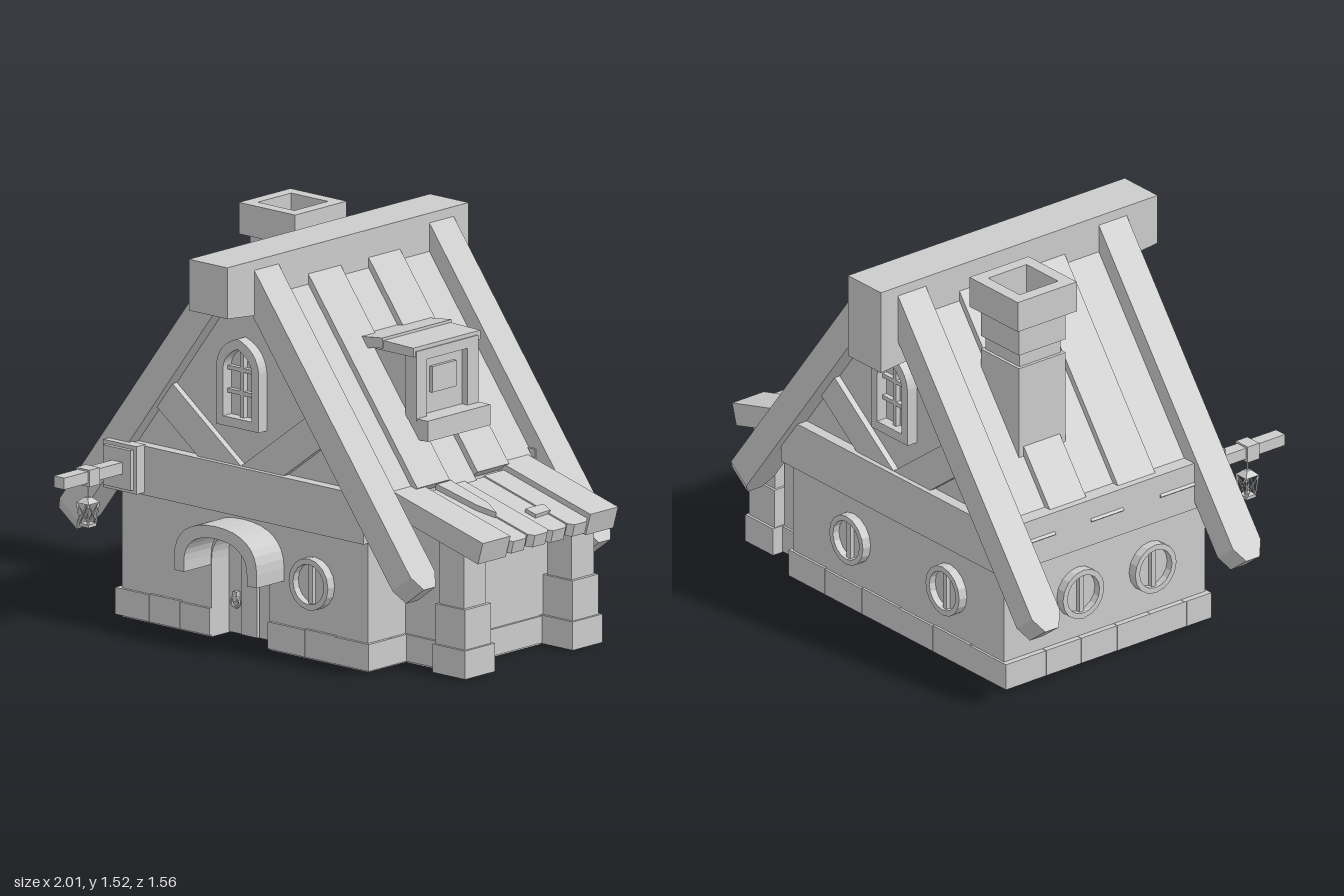
import * as THREE from 'three';

const mat = new THREE.MeshStandardMaterial({ color: 0xcccccc, flatShading: true });
const CX = -0.0775; // ridge line of the house
const SLOPE = Math.atan2(1.1, 0.83);

function add(parent, name, geo) {
  const m = new THREE.Mesh(geo, mat);
  m.name = name;
  parent.add(m);
  return m;
}

// box given by its extents
function box(parent, name, x0, x1, y0, y1, z0, z1) {
  const g = new THREE.BoxGeometry(x1 - x0, y1 - y0, z1 - z0);
  return add(parent, name, g.translate((x0 + x1) / 2, (y0 + y1) / 2, (z0 + z1) / 2));
}

const poly = pts => new THREE.Shape(pts.map(p => new THREE.Vector2(p[0], p[1])));

// xy outline pushed from z0 to z1
function prism(parent, name, outline, z0, z1) {
  const shape = Array.isArray(outline) ? poly(outline) : outline;
  const g = new THREE.ExtrudeGeometry(shape, { depth: z1 - z0, bevelEnabled: false, curveSegments: 8 });
  return add(parent, name, g.translate(0, 0, z0));
}

// board with plan outline (length, width), sloping down towards dir from its top edge
function board(parent, name, pts, thick, dir, angle, x, y, z) {
  const g = new THREE.ExtrudeGeometry(poly(pts), { depth: thick, bevelEnabled: false });
  g.rotateX(Math.PI / 2);
  if (dir < 0) g.rotateY(Math.PI);
  g.rotateZ(-dir * angle).translate(x, y, z);
  return add(parent, name, g);
}

// thin bar between two points
function bar(parent, name, a, b, r) {
  const p = new THREE.Vector3(...a), d = new THREE.Vector3(...b).sub(p);
  const m = add(parent, name, new THREE.CylinderGeometry(r, r, d.length(), 4));
  m.position.copy(p).addScaledVector(d, 0.5);
  m.quaternion.setFromUnitVectors(new THREE.Vector3(0, 1, 0), d.normalize());
}

// round window facing +z, back on z = 0
function roundWindow(parent, x, y, z, turn) {
  const g = new THREE.Group();
  g.name = 'roundWindow';
  const ring = new THREE.Shape().absarc(0, 0, 0.1, 0, Math.PI * 2);
  ring.holes.push(new THREE.Path().absarc(0, 0, 0.078, 0, Math.PI * 2, true));
  prism(g, 'windowRing', ring, -0.01, 0.037);
  add(g, 'windowPane', new THREE.CircleGeometry(0.08, 24)).position.z = 0.008;
  box(g, 'windowBar', -0.011, 0.011, -0.08, 0.08, 0, 0.025);
  g.position.set(x, y, z);
  g.rotation.y = turn;
  parent.add(g);
}

// pointed window outline, inset by d
function pointed(d, path = new THREE.Shape()) {
  const w = 0.108 - d, b = 0.84 + d, s = 1.07, t = 1.185 - d * 1.1;
  path.moveTo(-w, b);
  path.lineTo(w, b);
  path.lineTo(w, s);
  path.quadraticCurveTo(w * 0.9, t - 0.03, 0, t);
  path.quadraticCurveTo(-w * 0.9, t - 0.03, -w, s);
  path.closePath();
  return path;
}

// timber and window of one gable end, wall face on z = 0
function gableTrim(z, turn) {
  const g = new THREE.Group();
  g.name = 'gableTrim';
  box(g, 'crossBeam', -0.64, 0.64, 0.5, 0.69, -0.06, 0.045);
  for (const s of [-1, 1])
    prism(g, 'brace', [[0, 0.69], [s * 0.35, 0.95], [s * 0.44, 0.855], [s * 0.205, 0.68]], -0.03, 0.025);
  const frame = pointed(0);
  frame.holes.push(pointed(0.036, new THREE.Path()));
  prism(g, 'gableWindowFrame', frame, -0.01, 0.045);
  box(g, 'gableWindowBar', -0.009, 0.009, 0.87, 1.14, 0, 0.02);
  for (const y of [0.97, 1.06]) box(g, 'gableWindowBar', -0.072, 0.072, y - 0.008, y + 0.008, 0, 0.02);
  g.position.set(CX, 0, z);
  g.rotation.y = turn;
  return g;
}

// arch outline, from springing height down to the foot
function arch(x0, x1, y0, ys, top, path) {
  const c = (x0 + x1) / 2, w = (x1 - x0) / 2;
  path.moveTo(x0, y0);
  path.lineTo(x0, ys);
  path.bezierCurveTo(x0, ys + (top - ys) * 0.65, c - w * 0.65, top, c, top);
  path.bezierCurveTo(c + w * 0.65, top, x1, ys + (top - ys) * 0.65, x1, ys);
  path.lineTo(x1, y0);
  return path;
}

export function createModel() {
  const house = new THREE.Group();
  house.name = 'cottage';

  // walls, with the doorway cut out of the front one
  box(house, 'walls', -0.69, 0.56, 0, 0.5, -0.605, 0.25);
  const front = arch(-0.235, 0.06, 0, 0.3, 0.42, new THREE.Shape());
  [[0.56, 0], [0.56, 0.5], [-0.69, 0.5], [-0.69, 0]].forEach(p => front.lineTo(...p));
  prism(house, 'frontWall', front, 0.25, 0.368);
  prism(house, 'gable', [[-0.69, 0.5], [0.535, 0.5], [0.535, 0.65], [CX, 1.46], [-0.69, 0.65]], -0.615, 0.352);
  house.add(gableTrim(0.352, 0), gableTrim(-0.615, Math.PI));
  box(house, 'eaveBeam', -0.74, -0.6, 0.5, 0.69, -0.57, 0.285);
  box(house, 'eaveBeam', 0.45, 0.575, 0.5, 0.62, -0.57, 0.285);

  // stone footing
  const stonesX = (xs, z0, z1) => {
    for (let i = 0; i + 1 < xs.length; i++)
      box(house, 'footingStone', xs[i] + 0.001, xs[i + 1] - 0.001, 0.008, 0.112 + (i % 2) * 0.004, z0, z1);
  };
  stonesX([-0.715, -0.54, -0.385, -0.235], 0.26, 0.38);
  stonesX([0.06, 0.25, 0.4, 0.575], 0.26, 0.38);
  stonesX([-0.715, -0.5, -0.28, -0.08, 0.14, 0.36, 0.575], -0.615, -0.5);
  const zs = [-0.61, -0.42, -0.25, -0.075, 0.085, 0.25, 0.375];
  for (let i = 0; i < 6; i++) {
    box(house, 'footingStone', -0.713, -0.6, 0.008, 0.112, zs[i] + 0.001, zs[i + 1] - 0.001);
    box(house, 'footingStone', 0.5, 0.573, 0.008, 0.112, zs[i] + 0.001, zs[i + 1] - 0.001);
  }

  // door and its hood
  const door = [-0.235, -0.165, -0.08, 0, 0.06];
  for (let i = 0; i < 4; i++)
    box(house, 'doorPlank', door[i] + 0.003, door[i + 1] - 0.003, 0.005, 0.425, 0.24, 0.275 + (i % 2) * 0.006);
  add(house, 'doorHandle', new THREE.TorusGeometry(0.02, 0.006, 6, 12)).position.set(-0.185, 0.13, 0.29);
  box(house, 'doorHandlePlate', -0.195, -0.175, 0.13, 0.17, 0.27, 0.295);
  const hood = arch(-0.287, 0.133, 0.28, 0.33, 0.483, new THREE.Shape());
  const inner = arch(-0.237, 0.083, 0.28, 0.32, 0.435, new THREE.Path());
  inner.getPoints(8).reverse().forEach(p => hood.lineTo(p.x, p.y));
  prism(house, 'doorHood', hood, 0.36, 0.52);

  // round windows
  roundWindow(house, 0.29, 0.3, 0.368, 0);
  for (const x of [0.2, -0.37]) roundWindow(house, x, 0.3, -0.605, Math.PI);
  for (const z of [0.1, -0.25]) roundWindow(house, -0.69, 0.3, z, -Math.PI / 2);

  // roof: ridge beam, rafters and boards
  const ridge = new THREE.ExtrudeGeometry(
    poly([[-0.56, 1.31], [-0.56, 1.508], [0.78, 1.508], [0.78, 1.175]]), { depth: 0.195, bevelEnabled: false });
  add(house, 'ridgeBeam', ridge.rotateY(Math.PI / 2).translate(-0.175, 0, 0));
  const L = 1.378, W = 0.0675, c = 0.035;
  const rafter = [[0, -W], [L - 0.06, -W], [L, -W + c], [L, W - c], [L - 0.06, W], [0, W]];
  const rows = [0.275, 0.11, -0.07, -0.225, -0.4, -0.565];
  for (const s of [-1, 1]) {
    const x = CX + s * 0.0975;
    for (const z of [0.3425, -0.63]) board(house, 'rafter', rafter, 0.114, s, SLOPE, x, 1.47, z);
    for (let i = 0; i < 5; i++) {
      const w = (rows[i] - rows[i + 1]) / 2, up = i % 2, len = up ? 0.92 : 0.95;
      board(house, 'roofBoard', [[-0.03, -w], [len, -w], [len, w], [-0.03, w]], 0.055, s, SLOPE,
        x, 1.36 + up * 0.04, rows[i] - w);
    }
  }

  // chimney
  const cz = -0.31, cx = -0.4425;
  const block = (r, y0, y1) => box(house, 'chimneyBlock', cx - r, cx + r, y0, y1, cz - r, cz + r);
  block(0.113, 0.75, 1.225);
  block(0.1, 1.22, 1.285);
  block(0.113, 1.28, 1.4);
  const cap = poly([[-0.143, -0.143], [0.143, -0.143], [0.143, 0.143], [-0.143, 0.143]]);
  cap.holes.push(new THREE.Path([[-0.093, -0.093], [-0.093, 0.093], [0.093, 0.093], [0.093, -0.093]]
    .map(p => new THREE.Vector2(...p))));
  add(house, 'chimneyCap', new THREE.ExtrudeGeometry(cap, { depth: 0.122, bevelEnabled: false })
    .rotateX(-Math.PI / 2).translate(cx, 1.398, cz));

  // dormer
  box(house, 'dormerBody', 0.15, 0.425, 0.85, 1.14, -0.345, -0.03);
  for (const [z0, z1] of [[-0.36, -0.3], [-0.07, -0.015]]) box(house, 'dormerPost', 0.4, 0.455, 0.88, 1.14, z0, z1);
  box(house, 'dormerLintel', 0.4, 0.455, 1.11, 1.15, -0.36, -0.015);
  box(house, 'dormerBar', 0.42, 0.44, 0.97, 1.07, -0.255, -0.12);
  box(house, 'dormerSill', 0.3, 0.51, 0.81, 0.89, -0.365, -0.018);
  prism(house, 'dormerRoof', [[0.165, 1.165], [0.3, 1.18], [0.3, 1.14], [0.165, 1.12]], -0.38, 0.003);
  prism(house, 'dormerRoof', [[0.26, 1.17], [0.45, 1.165], [0.45, 1.13], [0.26, 1.13]], -0.376, -0.003);

  // side shed: wall, pillars and sloping boards
  prism(house, 'shedWall', [[0.55, 0], [0.75, 0], [0.75, 0.56], [0.55, 0.61]], -0.49, 0.16);
  box(house, 'shedFooting', 0.56, 0.76, 0.008, 0.112, -0.5, 0.17);
  for (const z of [0.135, -0.463]) {
    box(house, 'pillarBase', 0.75, 0.915, 0.005, 0.115, z - 0.083, z + 0.083);
    box(house, 'pillarMiddle', 0.755, 0.905, 0.115, 0.27, z - 0.072, z + 0.072);
    box(house, 'pillarTop', 0.765, 0.89, 0.27, 0.53, z - 0.062, z + 0.062);
    prism(house, 'shedEdgeBoard', [[0.535, 0.67], [1, 0.545], [0.975, 0.46], [0.535, 0.58]], z - 0.077, z + 0.077);
  }
  for (let i = 0; i < 4; i++) {
    const l = 0.45 + (i % 2) * 0.008, w = 0.055;
    board(house, 'shedBoard', [[0, -w], [l - 0.02, -w], [l, -w + 0.02], [l, w - 0.02], [l - 0.02, w], [0, w]],
      0.05, 1, 0.262, 0.56, 0.635 + (i % 2) * 0.006, 0.0 - i * 0.11);
  }
  board(house, 'shedPatch', [[0, -0.04], [0.2, -0.035], [0.28, 0], [0.2, 0.025], [0, 0.04]],
    0.03, 1, 0.262, 0.56, 0.658, -0.05);
  board(house, 'shedPatch', [[0, -0.03], [0.05, -0.015], [0.055, 0.07], [0, 0.07]],
    0.025, 1, 0.262, 0.84, 0.575, -0.27);

  // lantern on its bracket
  const lamp = new THREE.Group();
  lamp.name = 'lantern';
  house.add(lamp);
  box(lamp, 'bracketPlate', -0.72, -0.55, 0.51, 0.695, 0.39, 0.44);
  box(lamp, 'bracketPlateFace', -0.705, -0.565, 0.525, 0.68, 0.43, 0.457);
  box(lamp, 'bracketArm', -0.66, -0.607, 0.583, 0.628, 0.44, 0.78);
  box(lamp, 'bracketCollar', -0.669, -0.598, 0.57, 0.635, 0.592, 0.648);
  const lx = -0.633, lz = 0.62;
  bar(lamp, 'lanternHook', [lx, 0.58, lz], [lx, 0.515, lz], 0.004);
  add(lamp, 'lanternLid', new THREE.CylinderGeometry(0.015, 0.045, 0.02, 4).rotateY(Math.PI / 4))
    .position.set(lx, 0.51, lz);
  add(lamp, 'lanternFoot', new THREE.CylinderGeometry(0.033, 0.033, 0.012, 4).rotateY(Math.PI / 4))
    .position.set(lx, 0.414, lz);
  const corner = (k, top) => {
    const a = Math.PI / 4 + k * Math.PI / 2, r = top ? 0.042 : 0.03;
    return [lx + r * Math.cos(a), top ? 0.5 : 0.418, lz + r * Math.sin(a)];
  };
  for (let k = 0; k < 4; k++) {
    bar(lamp, 'lanternPost', corner(k, false), corner(k, true), 0.004);
    bar(lamp, 'lanternCross', corner(k, false), corner(k + 1, true), 0.003);
    bar(lamp, 'lanternCross', corner(k + 1, false), corner(k, true), 0.003);
  }
  return house;
}
